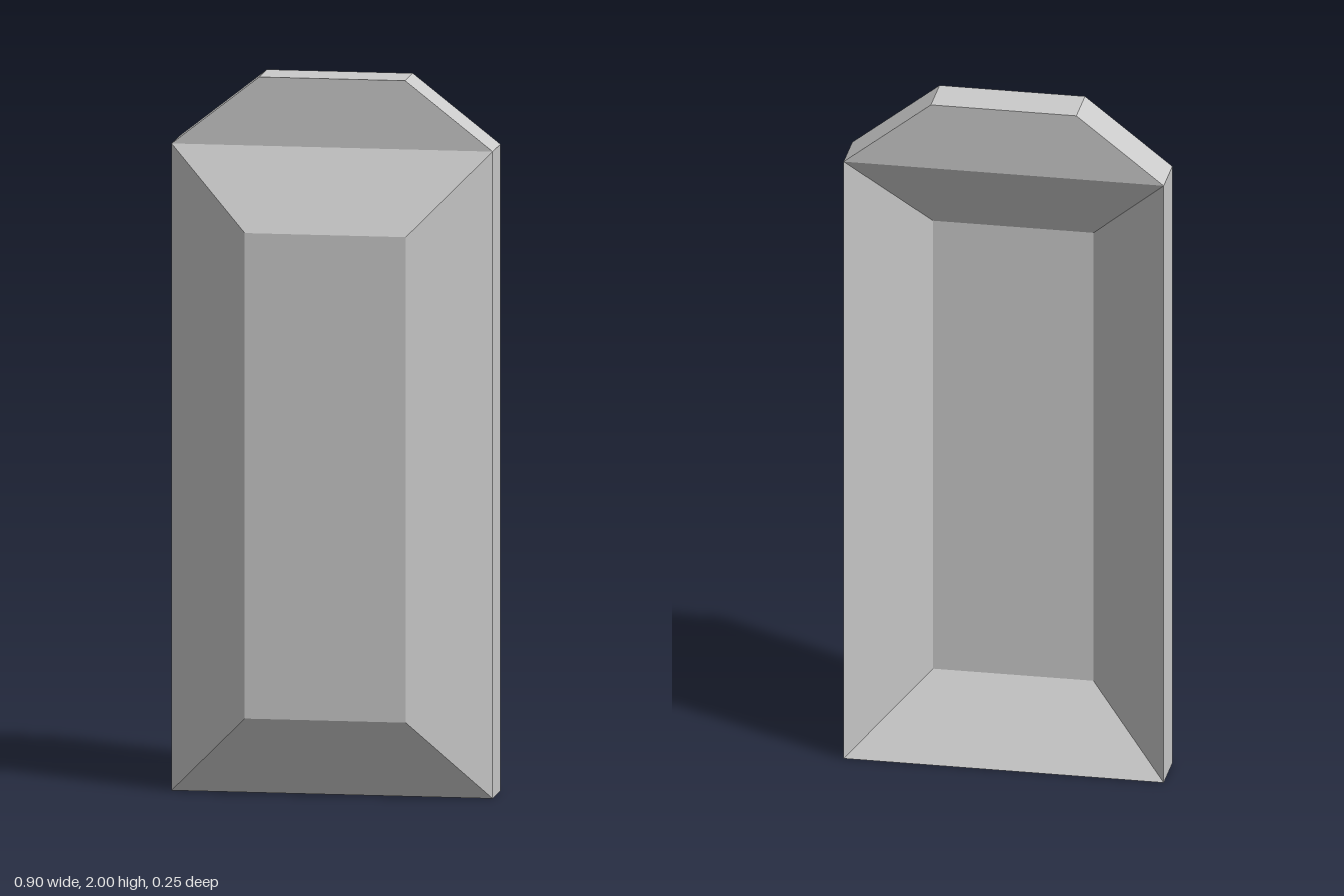
import * as THREE from 'three';

const BACK = -0.126, SEAM = 0.007, FRONT = 0.126, RECESS = 0.021;

// Flat-sided mesh from convex polygons, each listed counter-clockwise from outside
function facets(name, polygons) {
  const pos = [];
  for (const p of polygons) {
    for (let i = 1; i < p.length - 1; i++) pos.push(...p[0], ...p[i], ...p[i + 1]);
  }
  const geometry = new THREE.BufferGeometry();
  geometry.setAttribute('position', new THREE.Float32BufferAttribute(pos, 3));
  geometry.computeVertexNormals();
  const mesh = new THREE.Mesh(geometry, new THREE.MeshStandardMaterial({ color: 0xcccccc, flatShading: true }));
  mesh.name = name;
  return mesh;
}

const at = (outline, z) => outline.map(([x, y]) => [x, y, z]);

// Band of quads joining two matching loops
const band = (a, b) => a.map((p, i) => {
  const j = (i + 1) % a.length;
  return [p, a[j], b[j], b[i]];
});

const flip = (polygons) => polygons.map((p) => [...p].reverse());

export function createModel() {
  const group = new THREE.Group();
  group.name = 'bevelledSlab';

  // Outlines, counter-clockwise as seen from the front
  const body = [[-0.449, 0], [0.449, 0], [0.449, 1.808], [-0.449, 1.808]];
  const panel = [[-0.225, 0.225], [0.225, 0.225], [0.225, 1.582], [-0.225, 1.582]];
  const crown = [body[3], body[2], [0.204, 2], [-0.204, 2]];
  const outline = [body[0], body[1], body[2], crown[2], crown[3], body[3]];

  // Straight wall round the whole outline
  group.add(facets('rim', band(at(outline, BACK), at(outline, SEAM))));

  // Flat tapered top, front and back
  group.add(facets('crownFront', [at(crown, SEAM)]));
  group.add(facets('crownBack', flip([at(crown, BACK)])));

  // Raised bevelled panel on the front
  const raised = at(panel, FRONT);
  group.add(facets('frontPanel', [...band(at(body, SEAM), raised), raised]));

  // Sunken bevelled panel on the back
  const sunken = at(panel, RECESS);
  group.add(facets('backRecess', flip([...band(at(body, BACK), sunken), sunken])));

  return group;
}
